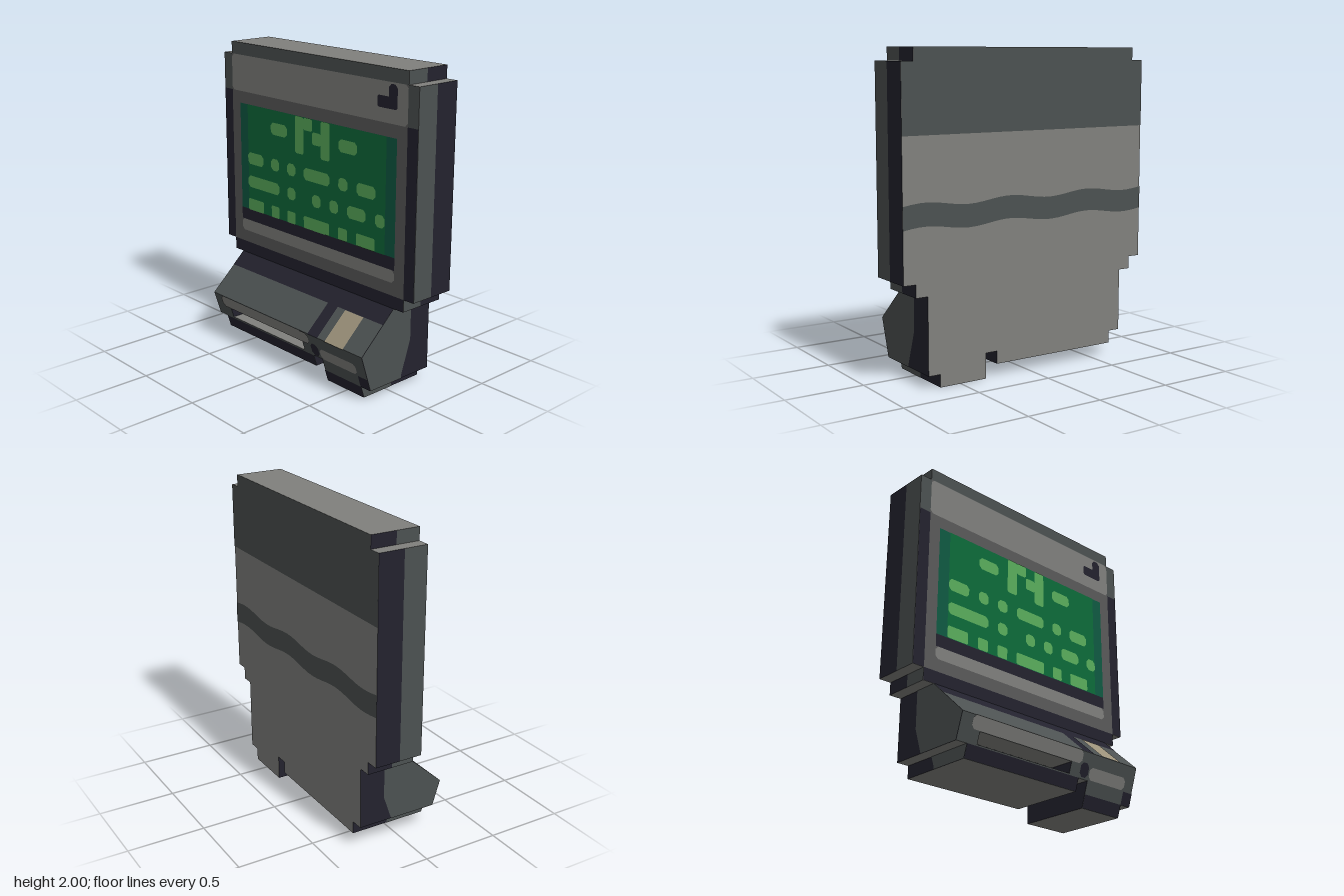
import * as THREE from 'three';

const mat = (name, color) => {
  const m = new THREE.MeshStandardMaterial({ color });
  m.name = name;
  return m;
};
const M = {
  dark: mat('darkNavy', 0x23222e),
  slate: mat('slateGrey', 0x4c5151),
  frame: mat('frameGrey', 0x5a5a5a),
  light: mat('lightGrey', 0x80807d),
  green: mat('screenGreen', 0x0d6b3a),
  rim: mat('screenRimGreen', 0x0f5a42),
  glow: mat('glyphGreen', 0x5aad5c),
  beige: mat('buttonBeige', 0x9b917a),
};

const BACK = -0.295, FACE = 0.02, SEAM = -0.13;
const RIDGE_Y = 0.32, RIDGE_Z = 0.283;

// depth of the front surface at a given height
function frontZ(y) {
  if (y >= 0.56) return FACE;
  if (y > RIDGE_Y) return RIDGE_Z - (y - RIDGE_Y) * (RIDGE_Z - FACE) / (0.56 - RIDGE_Y);
  return 0.18 + y * (RIDGE_Z - 0.18) / RIDGE_Y;
}
// rear limit of the slate side panels
function seamZ(y) {
  if (y <= 0.1) return -0.055;
  return y < RIDGE_Y ? -0.055 - (y - 0.1) * 0.075 / (RIDGE_Y - 0.1) : SEAM;
}

const shapeOf = (pts) => new THREE.Shape(pts.map(([x, y]) => new THREE.Vector2(x, y)));

// group the triangles of a geometry by a colour rule on normal and centre
function paintedMesh(name, geometry, rule) {
  const src = geometry.index ? geometry.toNonIndexed() : geometry;
  const p = src.attributes.position;
  const buckets = new Map();
  const tri = new THREE.Triangle(), n = new THREE.Vector3(), c = new THREE.Vector3();
  for (let i = 0; i < p.count; i += 3) {
    tri.a.fromBufferAttribute(p, i);
    tri.b.fromBufferAttribute(p, i + 1);
    tri.c.fromBufferAttribute(p, i + 2);
    tri.getNormal(n);
    tri.getMidpoint(c);
    const m = rule(n, c);
    if (!buckets.has(m)) buckets.set(m, []);
    for (const v of [tri.a, tri.b, tri.c]) buckets.get(m).push(v.x, v.y, v.z);
  }
  const out = new THREE.BufferGeometry(), all = [];
  let k = 0;
  for (const list of buckets.values()) {
    out.addGroup(all.length / 3, list.length / 3, k++);
    for (const v of list) all.push(v);
  }
  out.setAttribute('position', new THREE.Float32BufferAttribute(all, 3));
  out.computeVertexNormals();
  const mesh = new THREE.Mesh(out, [...buckets.keys()]);
  mesh.name = name;
  return mesh;
}

// thin painted panel following the front surface, with optional cut corners
function panel(name, x0, x1, y0, y1, material, layer = 1, cut = 0) {
  const pts = cut
    ? [[x0 + cut, y0], [x1 - cut, y0], [x1, y0 + cut], [x1, y1 - cut],
       [x1 - cut, y1], [x0 + cut, y1], [x0, y1 - cut], [x0, y0 + cut]]
    : [[x0, y0], [x1, y0], [x1, y1], [x0, y1]];
  const g = new THREE.ShapeGeometry(shapeOf(pts));
  const p = g.attributes.position;
  for (let i = 0; i < p.count; i++) p.setZ(i, frontZ(p.getY(i)) + layer * 0.003);
  g.computeVertexNormals();
  const mesh = new THREE.Mesh(g, material);
  mesh.name = name;
  return mesh;
}

function housing() {
  const half = [[0.8, 0.56], [0.8, 0.64], [0.88, 0.64], [0.88, 1.92], [0.8, 1.92], [0.8, 2]];
  const outline = [...half, ...half.map(([x, y]) => [-x, y]).reverse()];
  const g = new THREE.ExtrudeGeometry(shapeOf(outline), { depth: FACE - BACK, steps: 2, bevelEnabled: false });
  g.translate(0, 0, BACK);
  const p = g.attributes.position;
  for (let i = 0; i < p.count; i++) {
    const z = p.getZ(i);
    if (z > BACK + 0.05 && z < FACE - 0.05) p.setZ(i, SEAM);
  }
  return paintedMesh('housing', g, (n, c) => {
    if (Math.abs(n.y) > 0.5) return M.light;
    if (Math.abs(n.x) > 0.5) return c.z > SEAM ? M.slate : M.dark;
    return n.z > 0 ? M.frame : M.light;
  });
}

// one slice of the console, with a slot cut in its lower front if asked
function consoleSlice(x0, x1, y0, slot) {
  const pts = [[BACK, y0], [frontZ(y0), y0]];
  if (slot) pts.push([frontZ(0.17), 0.17], [0.09, 0.17], [0.09, 0.24], [frontZ(0.24), 0.24]);
  pts.push([RIDGE_Z, RIDGE_Y], [FACE, 0.56], [BACK, 0.56]);
  const g = new THREE.ExtrudeGeometry(shapeOf(pts), { depth: x1 - x0, bevelEnabled: false });
  g.rotateY(-Math.PI / 2).translate(x1, 0, 0);
  return paintedMesh('consoleSlice', g, (n, c) => {
    if (Math.abs(n.x) > 0.5) return M.dark;
    if (Math.abs(n.y) > 0.9 || n.z < -0.5) return M.light;
    return slot && c.z < 0.1 ? M.dark : M.slate;
  });
}

// slate cheek on an outer side of the console
function cheek(x, y0, y1) {
  const ys = [y0, ...[0.1, RIDGE_Y].filter((y) => y > y0 && y < y1), y1];
  const pts = [...ys.map((y) => [frontZ(y), y]), ...ys.reverse().map((y) => [seamZ(y), y])];
  const g = new THREE.ShapeGeometry(shapeOf(pts));
  g.rotateY(-Math.PI / 2);
  const m = new THREE.Mesh(g, M.slate);
  m.name = 'consoleCheek';
  if (x > 0) {
    // reverse the corners so that the face looks outwards
    const idx = g.index.array;
    for (let i = 0; i < idx.length; i += 3) [idx[i], idx[i + 1]] = [idx[i + 1], idx[i]];
    g.computeVertexNormals();
  }
  m.position.x = x + Math.sign(x) * 0.003;
  return m;
}

function backPlate(name, pts) {
  const m = new THREE.Mesh(new THREE.ShapeGeometry(shapeOf(pts)), M.slate);
  m.name = name;
  m.rotation.y = Math.PI;
  m.position.z = BACK - 0.003;
  return m;
}

export function createModel() {
  const root = new THREE.Group();
  root.name = 'computerTerminal';
  const add = (...a) => root.add(panel(...a));

  // main housing and its front trim
  root.add(housing());
  add('bottomTrim', -0.8, 0.8, 0.56, 0.64, M.dark);
  add('topTrim', -0.8, 0.8, 1.92, 2, M.slate);
  for (const [a, b] of [[-0.88, -0.8], [0.8, 0.88]]) {
    add('sideTrimUpper', a, b, 1.68, 1.92, M.slate);
    add('sideTrimLower', a, b, 0.64, 1.68, M.dark);
  }
  add('headerPanel', -0.8, 0.8, 1.68, 1.92, M.light, 1, 0.02);
  add('headerMarkBase', 0.56, 0.72, 1.765, 1.835, M.dark, 2, 0.01);
  add('headerMarkPost', 0.65, 0.72, 1.765, 1.91, M.dark, 2, 0.02);
  add('screenSill', -0.72, 0.72, 0.8, 0.88, M.dark);
  add('lowerBar', -0.72, 0.72, 0.72, 0.8, M.light, 1, 0.02);

  // screen with rows of glowing blocks
  add('screenRim', -0.72, 0.72, 0.88, 1.6, M.rim);
  add('screen', -0.64, 0.64, 0.88, 1.6, M.green, 2);
  const spread = [[-0.64, -0.48], [-0.4, -0.32], [-0.24, -0.16], [-0.08, 0.16], [0.24, 0.32], [0.4, 0.56]];
  const rows = [
    [1.44, [[-0.4, -0.24], [0.24, 0.4]]],
    [1.2, spread],
    [1.04, [[-0.64, -0.32], [-0.24, -0.16], [0, 0.08], [0.16, 0.24], [0.32, 0.48], [0.56, 0.64]]],
    [0.88, spread],
  ];
  for (const [y, runs] of rows)
    for (const [a, b] of runs) add('screenBlock', a, b, y, y + 0.08, M.glow, 3, y > 0.9 ? 0.02 : 0.008);
  for (const [a, b, c, d] of [[-0.16, -0.08, 1.36, 1.6], [-0.08, 0, 1.52, 1.6], [0, 0.08, 1.44, 1.52], [0.08, 0.16, 1.36, 1.6]])
    add('screenBlock', a, b, c, d, M.glow, 3, 0.01);

  // console slices, stepped along the bottom
  const slices = [[-0.72, -0.64, 0.16], [-0.64, -0.57, 0.08], [-0.57, 0.16, 0.08, true], [0.16, 0.24, 0.08],
    [0.24, 0.32, 0.16], [0.32, 0.64, 0], [0.64, 0.72, 0.08]];
  for (const s of slices) root.add(consoleSlice(...s));
  for (const [x, a, b] of [[-0.72, 0.16, 0.56], [-0.64, 0.08, 0.16], [0.72, 0.08, 0.56], [0.64, 0, 0.08]])
    root.add(cheek(x, a, b));

  // console painted details
  add('consoleTopStrip', -0.72, 0.72, 0.48, 0.56, M.dark);
  add('consoleDivider', 0.24, 0.33, 0.32, 0.48, M.dark);
  add('button', 0.4, 0.56, 0.32, 0.48, M.beige, 2);
  add('slotLip', -0.64, 0.24, 0.24, 0.32, M.light, 2, 0.02);
  add('slotBase', -0.64, 0.24, 0.08, 0.16, M.dark);
  add('slotGap', 0.24, 0.31, 0.17, 0.255, M.dark, 1, 0.02);
  add('drivePlate', 0.32, 0.64, 0.165, 0.24, M.light, 1, 0.02);
  add('footPlate', 0.32, 0.64, 0, 0.08, M.dark);
  add('footSide', 0.64, 0.72, 0.08, 0.16, M.dark);

  // rear panel and wavy cable band
  root.add(backPlate('rearUpperPanel', [[-0.88, 1.5], [0.88, 1.5], [0.88, 1.92], [0.8, 1.92], [0.8, 2],
    [-0.8, 2], [-0.8, 1.92], [-0.88, 1.92]]));
  const low = [], high = [];
  for (let i = 0; i <= 32; i++) {
    const x = -0.88 + 1.76 * i / 32;
    const w = 0.015 * Math.sin(i / 32 * Math.PI * 6);
    low.push([x, 0.96 + w]);
    high.unshift([x, 1.1 + w]);
  }
  root.add(backPlate('rearBand', [...low, ...high]));
  return root;
}
